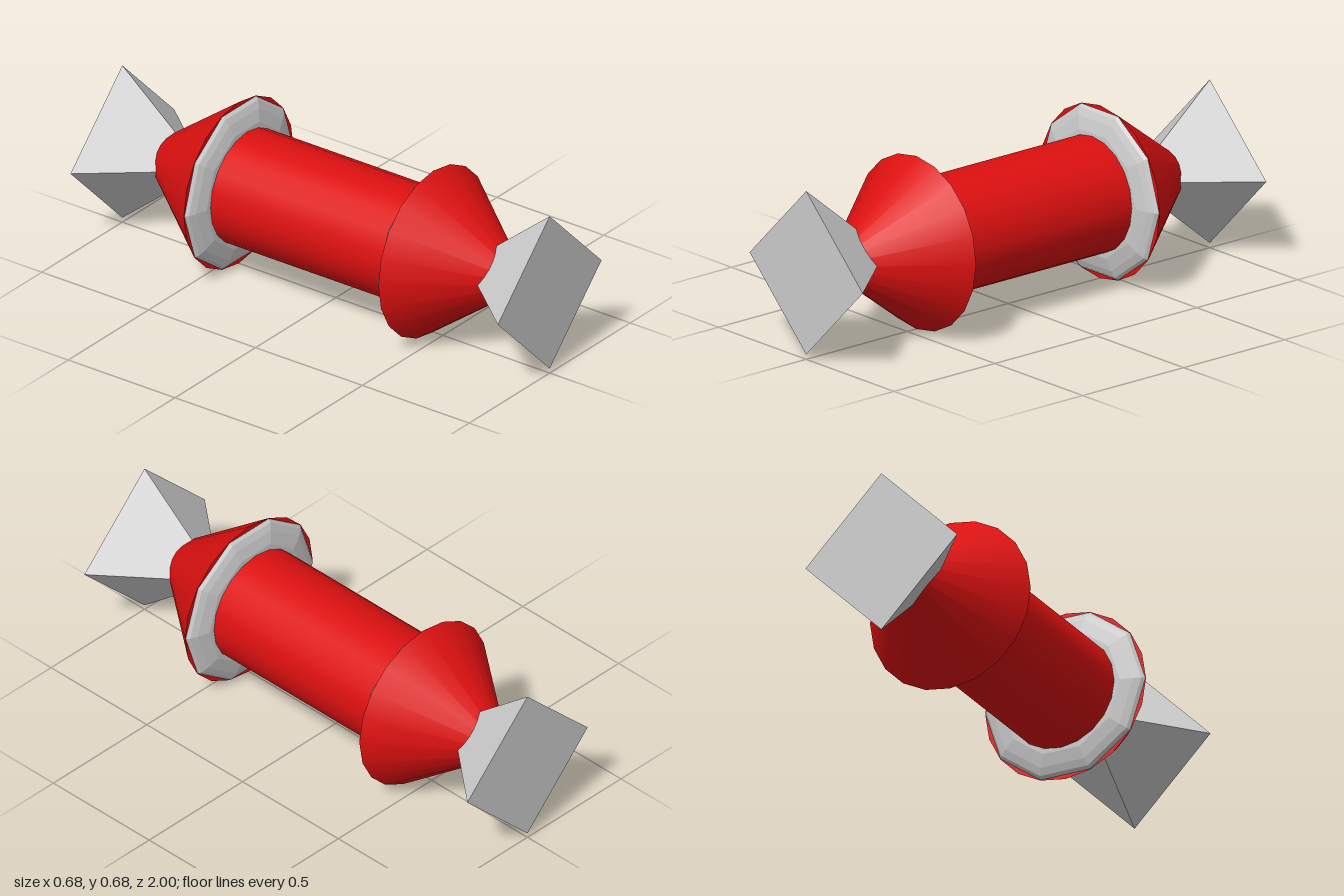
import * as THREE from 'three';

const red = new THREE.MeshStandardMaterial({ color: 0xdd1010 });
const grey = new THREE.MeshStandardMaterial({ color: 0xcccccc, flatShading: true });

// Turns a y-axis geometry so that its top points along +z.
function part(name, geometry, material, z = 0) {
  const mesh = new THREE.Mesh(geometry.rotateX(Math.PI / 2), material);
  mesh.name = name;
  mesh.position.z = z;
  return mesh;
}

// One end: a low ring collar, a cone and an outward-flaring four-sided pyramid.
function createEnd(name) {
  const end = new THREE.Group();
  end.name = name;

  const coneHeight = 0.455;
  end.add(part('cone', new THREE.ConeGeometry(0.341, coneHeight, 20), red, 0.455 + coneHeight / 2));

  const profile = [[0.2, 0.415], [0.25, 0.417], [0.3, 0.43], [0.328, 0.442], [0.339, 0.454], [0.3, 0.47]]
    .map(([r, y]) => new THREE.Vector2(r, y));
  end.add(part('collar', new THREE.LatheGeometry(profile, 10).rotateY(Math.PI / 2), grey));

  const flareHeight = 0.393;
  end.add(part('flare', new THREE.CylinderGeometry(0.322, 0, flareHeight, 4), grey, 1 - flareHeight / 2));
  return end;
}

export function createModel() {
  const model = new THREE.Group();
  model.name = 'model';

  // Central shaft
  model.add(part('shaft', new THREE.CylinderGeometry(0.227, 0.227, 0.92, 20), red));

  // Matching ends
  const front = createEnd('frontEnd');
  const back = createEnd('backEnd');
  back.rotation.y = Math.PI;
  model.add(front, back);

  model.position.y = 0.343;
  const root = new THREE.Group();
  root.add(model);
  return root;
}
